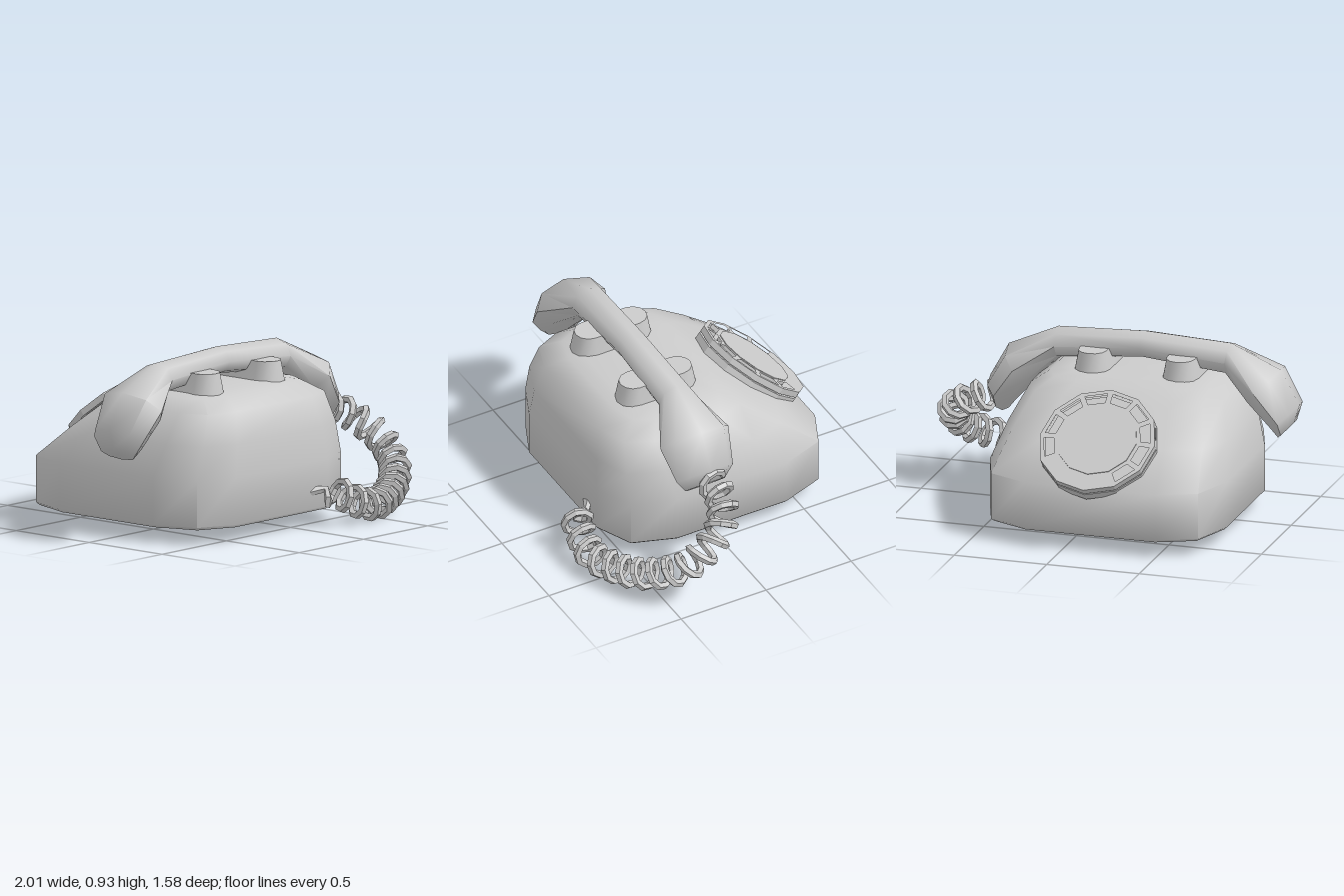
import * as THREE from 'three';
import { toCreasedNormals } from 'three/addons/utils/BufferGeometryUtils.js';

const grey = new THREE.MeshStandardMaterial({ color: 0xcccccc });
const flat = new THREE.MeshStandardMaterial({ color: 0xcccccc, flatShading: true });

function part(name, geometry, material = grey) {
  const mesh = new THREE.Mesh(geometry, material);
  mesh.name = name;
  return mesh;
}

// Skin a stack of equal-sized rings and close both ends
function loft(rings, crease = 1) {
  const n = rings[0].length;
  const points = rings.flat();
  const index = [];
  for (let i = 0; i < rings.length - 1; i++) {
    for (let j = 0; j < n; j++) {
      const a = i * n + j, b = i * n + (j + 1) % n;
      index.push(a, a + n, b, b, a + n, b + n);
    }
  }
  const middle = (ring) => ring.reduce((s, p) => s.add(p), new THREE.Vector3()).divideScalar(n);
  const last = (rings.length - 1) * n;
  const start = points.push(middle(rings[0])) - 1;
  const end = points.push(middle(rings[rings.length - 1])) - 1;
  for (let j = 0; j < n; j++) {
    const k = (j + 1) % n;
    index.push(start, j, k, end, last + k, last + j);
  }
  const geometry = new THREE.BufferGeometry().setFromPoints(points);
  geometry.setIndex(index);
  return toCreasedNormals(geometry, crease);
}

// Body: rounded-square outlines, [height, half width, dial-side z, rear z]
function bodyGeometry() {
  const corner = [[1, 0.5], [0.875, 0.86], [0.56, 1]];
  const flip = ([x, z], sx, sz) => [x * sx, z * sz];
  const outline = [
    ...corner.map((p) => flip(p, 1, 1)),
    ...[...corner].reverse().map((p) => flip(p, -1, 1)),
    ...corner.map((p) => flip(p, -1, -1)),
    ...[...corner].reverse().map((p) => flip(p, 1, -1)),
  ];
  const levels = [
    [0.09, 0.625, -0.705, 0.555], [0.105, 0.64, -0.72, 0.565], [0.35, 0.64, -0.72, 0.565],
    [0.52, 0.59, -0.5, 0.55], [0.68, 0.52, -0.28, 0.51],
    [0.74, 0.43, -0.18, 0.4], [0.757, 0.33, -0.1, 0.33],
  ];
  return loft(levels.map(([y, w, z0, z1]) => outline.map(([x, z]) =>
    new THREE.Vector3(-0.14 + x * w, y, (z0 + z1) / 2 + z * (z1 - z0) / 2))));
}

// Cradle rest: tapered block with round ends
function restGeometry() {
  const ring = (y, r) => Array.from({ length: 14 }, (_, i) => {
    const side = i < 7 ? 1 : -1;
    const a = (i % 7) / 6 * Math.PI + (i < 7 ? 0 : Math.PI);
    return new THREE.Vector3(Math.cos(a) * r, y, 0.14 + side * 0.13 + Math.sin(a) * r);
  });
  return loft([ring(0.73, 0.099), ring(0.855, 0.075)]);
}

// Handset: eight-sided sections, [top x, top y, bottom x, bottom y, half depth]
function handsetGeometry() {
  const half = [
    [0.465, 0.92, 0.455, 0.755, 0.1], [0.735, 0.8, 0.575, 0.63, 0.2],
    [0.835, 0.62, 0.7, 0.495, 0.165], [0.805, 0.52, 0.735, 0.45, 0.115],
  ];
  const mirrored = [...half].reverse().map(([a, b, c, d, w]) => [-a, b, -c, d, w]);
  const sections = [...mirrored, [0, 0.94, 0, 0.8, 0.09], ...half];
  return loft(sections.map(([tx, ty, bx, by, w]) => Array.from({ length: 8 }, (_, i) => {
    const a = i / 8 * Math.PI * 2, s = Math.sin(a) / 2;
    return new THREE.Vector3(
      -0.165 + (tx + bx) / 2 + s * (tx - bx), (ty + by) / 2 + s * (ty - by), 0.14 + Math.cos(a) * w);
  })));
}

// Dial: twelve-sided finger wheel with nine openings over a back plate
function dial() {
  const group = new THREE.Group();
  group.name = 'dial';
  const at = (r, k) => new THREE.Vector2(Math.sin(k * Math.PI / 6) * r, Math.cos(k * Math.PI / 6) * r);
  const wheel = new THREE.Shape(Array.from({ length: 12 }, (_, k) => at(0.31, k)));
  for (let k = 2; k <= 10; k++) {
    wheel.holes.push(new THREE.Path([
      at(0.23, k + 0.12), at(0.285, k + 0.1), at(0.285, k + 0.9), at(0.23, k + 0.88)]));
  }
  const wheelGeometry = new THREE.ExtrudeGeometry(wheel, { depth: 0.034, bevelEnabled: false });
  wheelGeometry.rotateX(-Math.PI / 2).translate(0, -0.034, 0);
  const disc = (name, r, top, height) => {
    const mesh = part(name, new THREE.CylinderGeometry(r, r, height, 12), flat);
    mesh.position.y = top - height / 2;
    return mesh;
  };
  group.add(
    part('fingerWheel', wheelGeometry, flat),
    disc('dialCentre', 0.212, 0.004, 0.03),
    disc('dialHub', 0.29, -0.03, 0.02),
    disc('dialPlate', 0.31, -0.042, 0.043),
  );
  group.position.set(-0.13, 0.56, -0.553);
  group.rotation.x = -0.69;
  return group;
}

// Cord: helix wound around a curved path, then a lead into the body
function cordGeometry() {
  const path = new THREE.CatmullRomCurve3([
    [0.62, 0.53, 0.12], [0.76, 0.49, 0.13], [0.87, 0.42, 0.19], [0.915, 0.33, 0.31],
    [0.885, 0.24, 0.42], [0.8, 0.18, 0.51], [0.68, 0.13, 0.59], [0.55, 0.105, 0.65],
    [0.42, 0.1, 0.695], [0.3, 0.13, 0.69], [0.2, 0.18, 0.67], [0.155, 0.2, 0.64],
  ].map((p) => new THREE.Vector3(...p)));
  const turns = 16, perTurn = 9, steps = turns * perTurn;
  const frames = path.computeFrenetFrames(steps, false);
  const points = [];
  for (let i = 0; i <= steps; i++) {
    const a = i / perTurn * Math.PI * 2;
    points.push(path.getPointAt(i / steps)
      .addScaledVector(frames.normals[i], Math.cos(a) * 0.07)
      .addScaledVector(frames.binormals[i], Math.sin(a) * 0.07));
  }
  points.push(new THREE.Vector3(0.17, 0.2, 0.595), new THREE.Vector3(0.09, 0.19, 0.55));
  return new THREE.TubeGeometry(new THREE.CatmullRomCurve3(points), steps + 6, 0.021, 5);
}

export function createModel() {
  const model = new THREE.Group();
  model.name = 'telephone';
  model.add(part('body', bodyGeometry()), part('handset', handsetGeometry()), dial());
  for (const [name, x] of [['rightRest', -0.4], ['leftRest', 0.075]]) {
    const rest = part(name, restGeometry());
    rest.position.x = x;
    model.add(rest);
  }
  model.add(part('cord', cordGeometry(), flat));
  return model;
}
